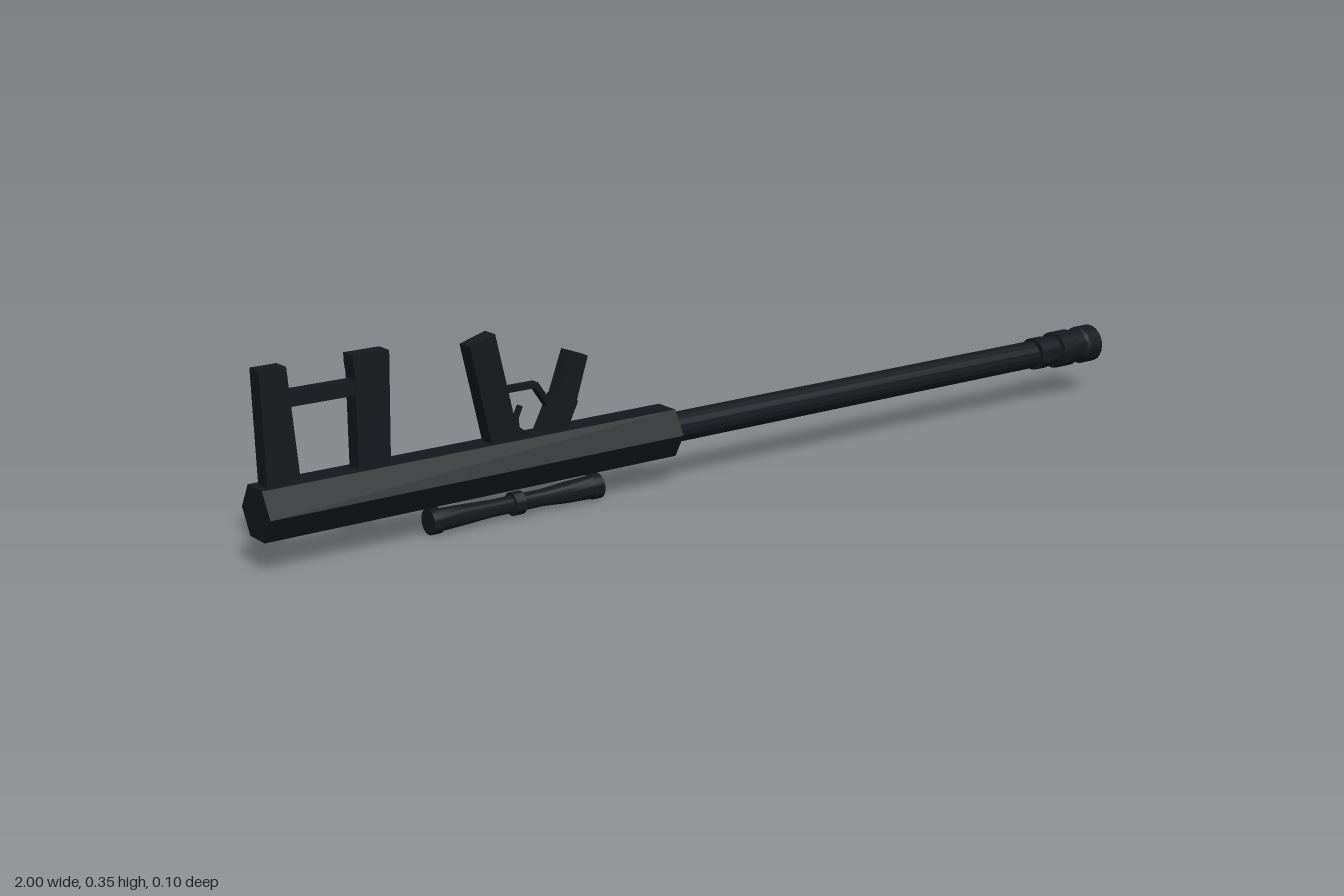
import * as THREE from 'three';
import { toCreasedNormals } from 'three/addons/utils/BufferGeometryUtils.js';

const dark = new THREE.MeshStandardMaterial({ color: 0x16181d });
const darkFlat = new THREE.MeshStandardMaterial({ color: 0x16181d, flatShading: true });

// Closed turned part along x: profile is [x, radius] pairs
function turned(name, y, profile, sides, material = dark) {
  const pts = [[profile[0][0], 0], ...profile, [profile.at(-1)[0], 0]];
  let geo = new THREE.LatheGeometry(pts.map(([x, r]) => new THREE.Vector2(r, x)), sides);
  geo.rotateZ(-Math.PI / 2);
  if (material === dark) geo = toCreasedNormals(geo, 0.6);
  const mesh = new THREE.Mesh(geo, material);
  mesh.position.y = y;
  mesh.name = name;
  return mesh;
}

// Flat plate: side outline in x/y, given a thickness across z
function plate(name, outline, thickness) {
  const shape = new THREE.Shape(outline.map(([x, y]) => new THREE.Vector2(x, y)));
  const geo = new THREE.ExtrudeGeometry(shape, { depth: thickness, bevelEnabled: false });
  geo.translate(0, 0, -thickness / 2);
  const mesh = new THREE.Mesh(geo, darkFlat);
  mesh.name = name;
  return mesh;
}

export function createModel() {
  const model = new THREE.Group();
  model.name = 'upturnedRifle';

  // Hexagonal receiver and barrel
  model.add(turned('receiver', 0.105, [[-1, 0.0525], [-0.145, 0.0525]], 6, darkFlat));
  model.add(turned('barrel', 0.107, [[-0.16, 0.029], [0.821, 0.029]], 16, darkFlat));

  // Stepped muzzle brake
  model.add(turned('muzzleBrake', 0.107, [
    [0.826, 0.034], [0.855, 0.034], [0.857, 0.031], [0.885, 0.031],
    [0.887, 0.039], [0.93, 0.039], [0.932, 0.034], [0.96, 0.034],
    [0.965, 0.04], [1, 0.04],
  ], 24));

  // Scope with a central adjustment collar
  model.add(turned('scope', 0.025, [
    [-0.67, 0.024], [-0.65, 0.024], [-0.648, 0.021], [-0.6, 0.019], [-0.54, 0.016],
    [-0.498, 0.016], [-0.497, 0.022], [-0.476, 0.022], [-0.475, 0.016],
    [-0.43, 0.016], [-0.38, 0.02], [-0.325, 0.022], [-0.323, 0.024], [-0.305, 0.024],
  ], 24));

  // Skeleton stock
  const stock = new THREE.Group();
  stock.name = 'stock';
  stock.add(
    plate('buttPlate', [[-0.985, 0.14], [-0.922, 0.14], [-0.94, 0.353], [-0.99, 0.353]], 0.034),
    plate('stockPost', [[-0.787, 0.14], [-0.75, 0.14], [-0.745, 0.353], [-0.815, 0.353], [-0.815, 0.338]], 0.034),
    plate('stockBrace', [[-0.945, 0.282], [-0.8, 0.282], [-0.8, 0.308], [-0.945, 0.308]], 0.026),
  );
  // Wide foot under the stock post
  stock.add(plate('stockPostFoot', [[-0.812, 0.14], [-0.75, 0.14], [-0.75, 0.33], [-0.812, 0.33]], 0.034));
  model.add(stock);

  // Pistol grip, magazine and its well
  model.add(
    plate('pistolGrip', [[-0.542, 0.14], [-0.445, 0.14], [-0.493, 0.178], [-0.532, 0.35], [-0.585, 0.334]], 0.034),
    plate('magazineWell', [[-0.442, 0.14], [-0.387, 0.14], [-0.358, 0.2], [-0.402, 0.217]], 0.034),
    plate('magazine', [[-0.404, 0.21], [-0.362, 0.193], [-0.334, 0.281], [-0.372, 0.295]], 0.03),
  );

  // Trigger guard strap and trigger
  model.add(
    plate('triggerGuard', [
      [-0.52, 0.236], [-0.445, 0.236], [-0.418, 0.196], [-0.41, 0.204], [-0.439, 0.246], [-0.52, 0.246],
    ], 0.018),
    plate('trigger', [[-0.487, 0.165], [-0.478, 0.165], [-0.479, 0.185], [-0.47, 0.205], [-0.476, 0.208], [-0.486, 0.188]], 0.01),
  );
  return model;
}
